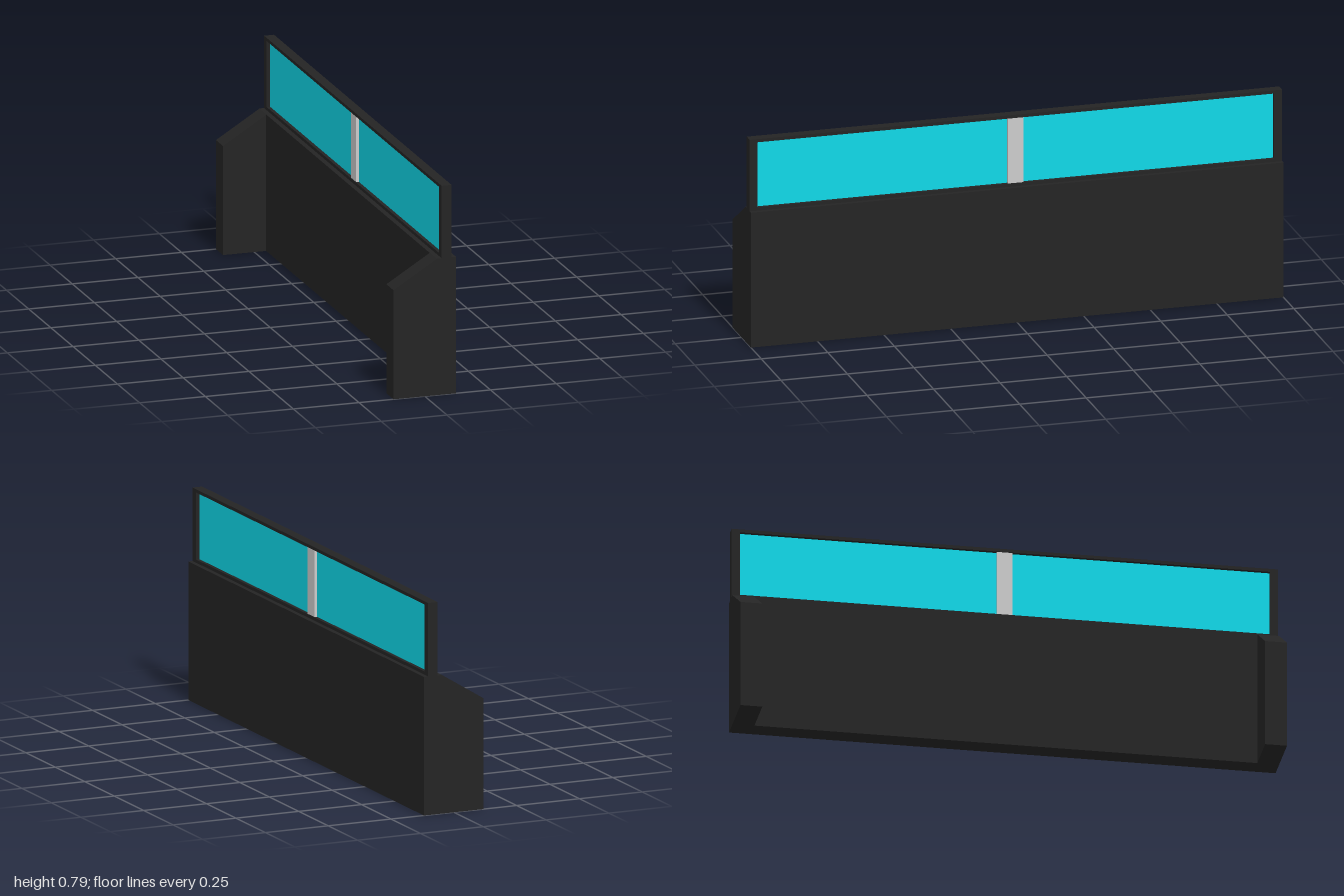
import * as THREE from 'three';

const dark = new THREE.MeshStandardMaterial({ color: 0x242424, flatShading: true });
const glass = new THREE.MeshStandardMaterial({ color: 0x10d8e8, flatShading: true });
const grey = new THREE.MeshStandardMaterial({ color: 0xcccccc, flatShading: true });

// Box given by its minimum and maximum on each axis
function box(name, material, [x0, x1], [y0, y1], [z0, z1]) {
  const mesh = new THREE.Mesh(new THREE.BoxGeometry(x1 - x0, y1 - y0, z1 - z0), material);
  mesh.position.set((x0 + x1) / 2, (y0 + y1) / 2, (z0 + z1) / 2);
  mesh.name = name;
  return mesh;
}

export function createModel() {
  const model = new THREE.Group();
  model.name = 'glazedBarrier';

  // Long solid wall between the two returns
  model.add(box('wall', dark, [0.045, 0.119], [0, 0.513], [-0.92, 0.92]));

  // End returns with a sloping top
  const profile = new THREE.Shape([
    [-0.119, 0], [0.119, 0], [0.119, 0.513], [0.047, 0.513], [-0.119, 0.41],
  ].map(([x, y]) => new THREE.Vector2(x, y)));
  const returnGeometry = new THREE.ExtrudeGeometry(profile, { depth: 0.08, bevelEnabled: false });
  for (const [name, z] of [['leftReturn', 0.92], ['rightReturn', -1]]) {
    const mesh = new THREE.Mesh(returnGeometry, dark);
    mesh.position.z = z;
    mesh.name = name;
    model.add(mesh);
  }

  // Window frame on top of the wall
  const frame = new THREE.Group();
  frame.name = 'windowFrame';
  const fx = [0.064, 0.102];
  frame.add(
    box('bottomRail', dark, fx, [0.513, 0.525], [-0.97, 0.97]),
    box('topRail', dark, fx, [0.773, 0.785], [-0.97, 0.97]),
    box('frontPost', dark, fx, [0.513, 0.785], [0.97, 1]),
    box('backPost', dark, fx, [0.513, 0.785], [-1, -0.97]),
  );
  model.add(frame);

  // Glazing and its central divider
  model.add(
    box('glassPane', glass, [0.077, 0.089], [0.525, 0.773], [-0.97, 0.97]),
    box('divider', grey, [0.067, 0.099], [0.525, 0.773], [-0.029, 0.029]),
  );
  return model;
}
